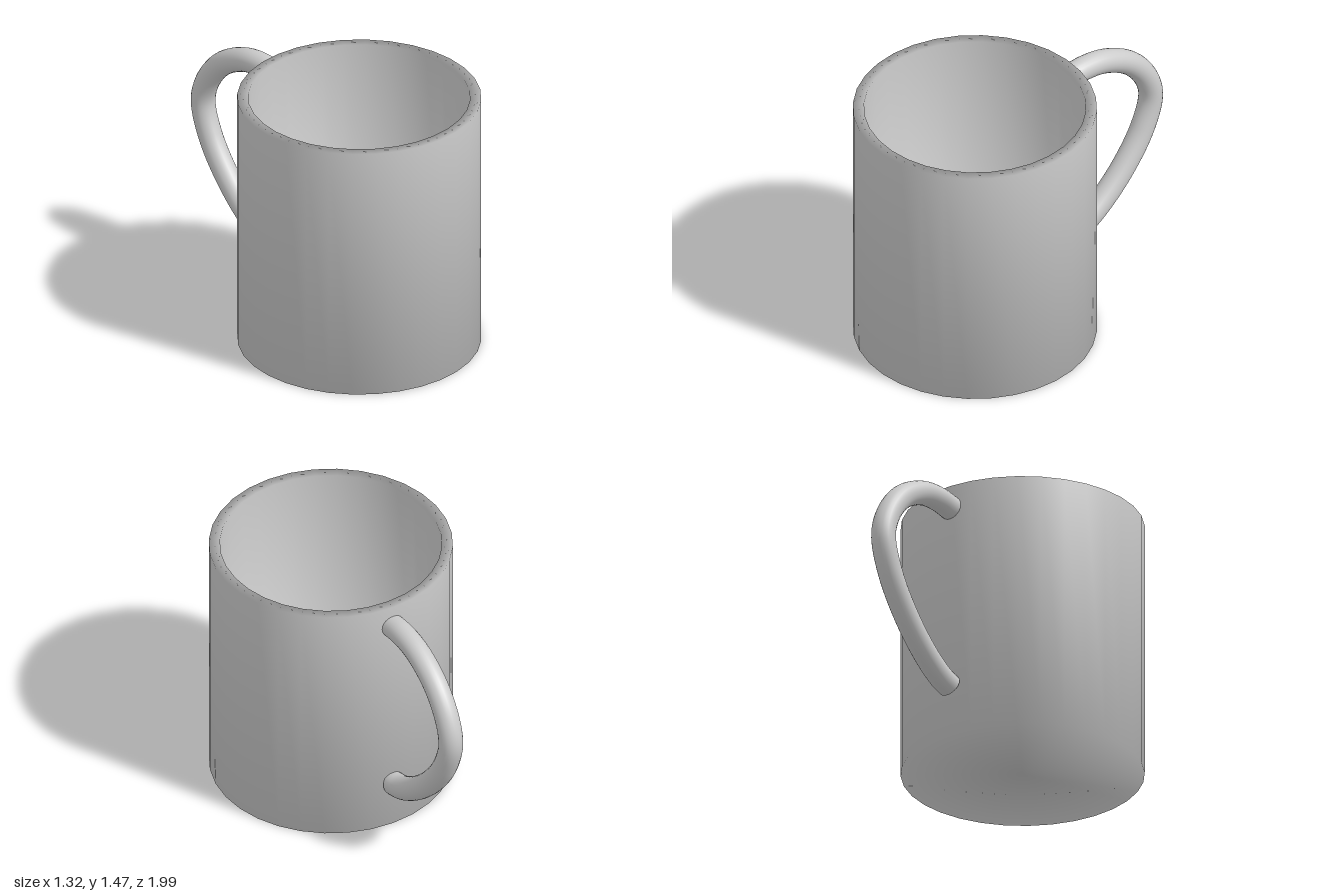
import * as THREE from 'three';

const grey = new THREE.MeshStandardMaterial({ color: 0xcccccc });

const HEIGHT = 1.47, OUTER = 0.66, INNER = 0.6, FLOOR = 0.06, CUP_Z = 0.335;
const TUBE_RADIUS = 0.067, TUBE_SIDES = 24;

// Hollow cup turned from one closed profile, softly shaded over the rim
function makeCup() {
  const profile = [
    [0, 0], [OUTER, 0], [OUTER, HEIGHT], [INNER, HEIGHT], [INNER, FLOOR], [0, FLOOR],
  ].map(([r, y]) => new THREE.Vector2(r, y));
  const cup = new THREE.Mesh(new THREE.LatheGeometry(profile, 32), grey);
  cup.name = 'cup';
  cup.position.z = CUP_Z;
  return cup;
}

// Ear-shaped handle: a round tube along a curve, with flat ends
function makeHandle() {
  const handle = new THREE.Group();
  handle.name = 'handle';
  const path = new THREE.CatmullRomCurve3([
    [1.34, -0.32], [1.352, -0.436], [1.33, -0.59], [1.235, -0.77], [1.09, -0.89],
    [0.945, -0.932], [0.755, -0.873], [0.565, -0.742], [0.4, -0.57], [0.305, -0.42], [0.277, -0.333],
  ].map(([y, z]) => new THREE.Vector3(0, y, z)));

  const tube = new THREE.Mesh(new THREE.TubeGeometry(path, 64, TUBE_RADIUS, TUBE_SIDES), grey);
  tube.name = 'handleTube';
  handle.add(tube);

  for (const [name, t, sign] of [['handleTopEnd', 0, -1], ['handleBottomEnd', 1, 1]]) {
    const end = new THREE.Mesh(new THREE.CircleGeometry(TUBE_RADIUS, TUBE_SIDES), grey);
    end.name = name;
    end.position.copy(path.getPointAt(t));
    end.lookAt(end.position.clone().addScaledVector(path.getTangentAt(t), sign));
    handle.add(end);
  }
  return handle;
}

export function createModel() {
  const mug = new THREE.Group();
  mug.name = 'mug';
  mug.add(makeCup(), makeHandle());
  return mug;
}
